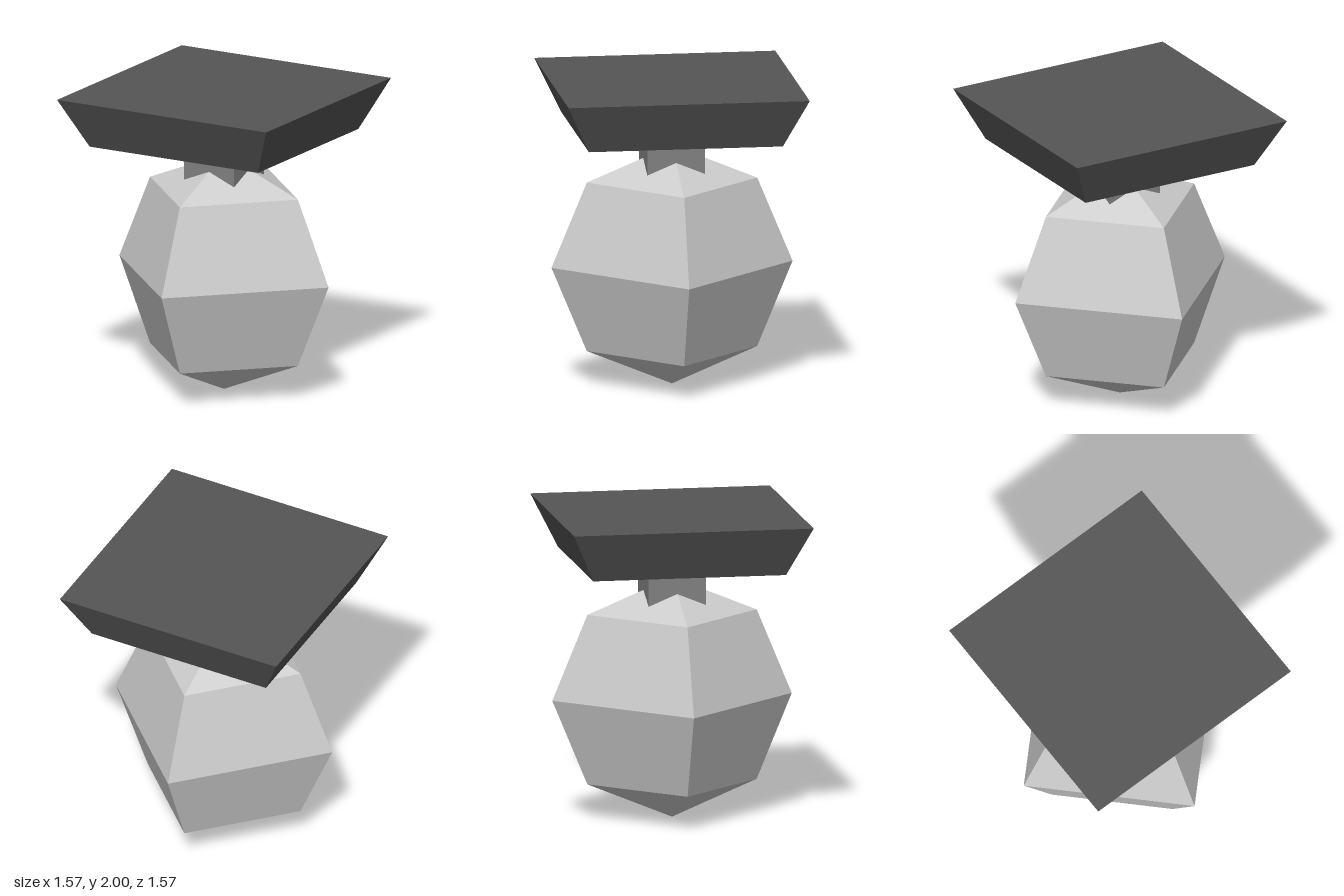
import * as THREE from 'three';

const material = (color) => new THREE.MeshStandardMaterial({ color, flatShading: true });

function addPart(group, name, geometry, color, y) {
  const mesh = new THREE.Mesh(geometry, material(color));
  mesh.name = name;
  mesh.position.y = y;
  group.add(mesh);
  return mesh;
}

// Square frustum with its sides facing the x and z axes
function squareFrustum(topHalf, bottomHalf, height) {
  return new THREE.CylinderGeometry(topHalf * Math.SQRT2, bottomHalf * Math.SQRT2, height, 4)
    .rotateY(Math.PI / 4);
}

export function createModel() {
  const model = new THREE.Group();
  model.name = 'facetedBottle';

  // Four-sided faceted body with its corners on the x and z axes
  const radius = 0.783;
  addPart(model, 'body', new THREE.SphereGeometry(radius, 4, 4), 0xcccccc, radius + 0.002);

  // Square neck sinking into the body
  addPart(model, 'neck', new THREE.BoxGeometry(0.374, 0.38, 0.374), 0x808080, 1.49);

  // Flared square stopper
  addPart(model, 'stopper', squareFrustum(radius, 0.63, 0.326), 0x555555, 1.837);

  return model;
}
